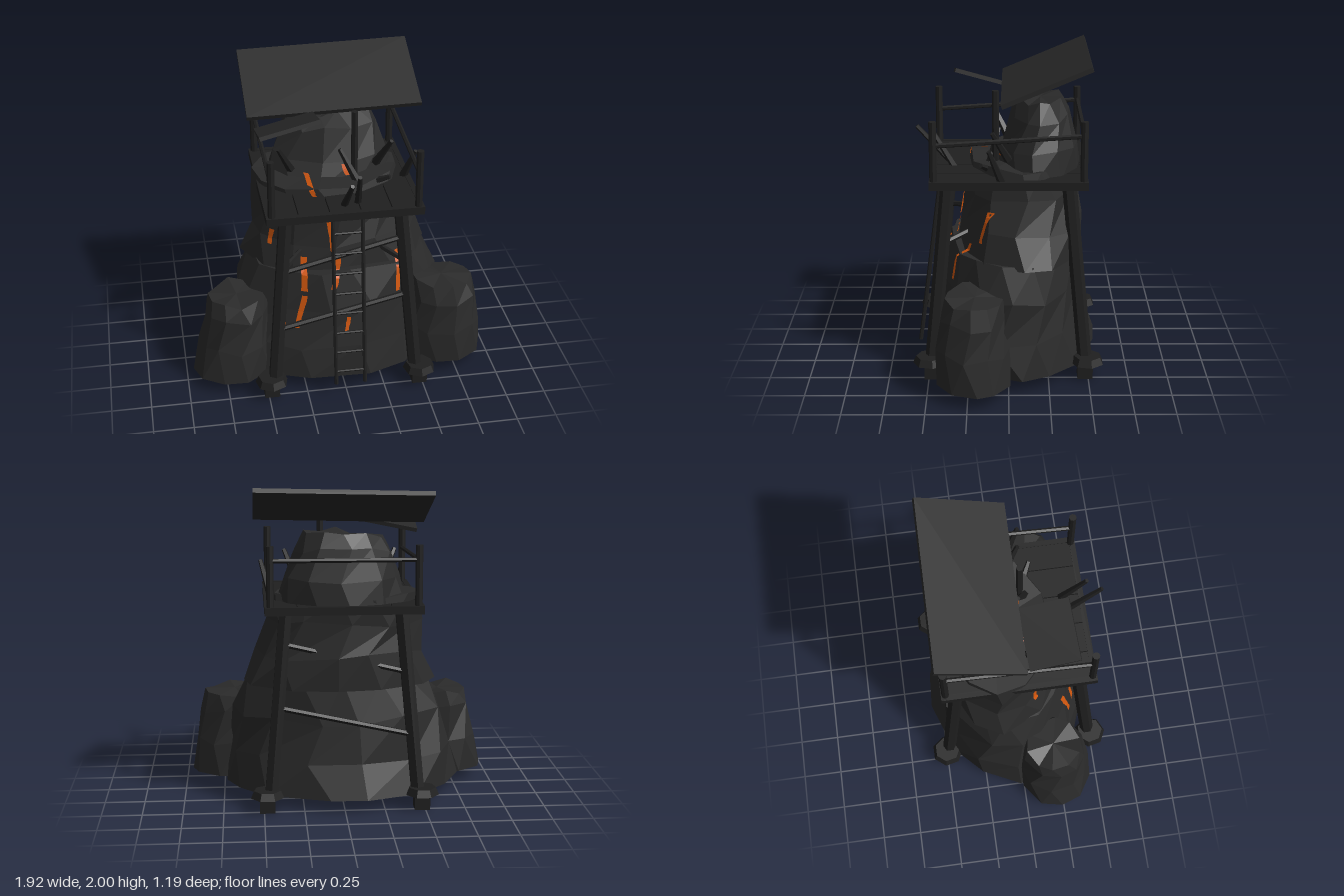
import * as THREE from 'three';

const mat = (name, color, extra = {}) =>
  Object.assign(new THREE.MeshStandardMaterial({ color, ...extra }), { name });

export function createModel() {
  const model = new THREE.Group();
  model.name = 'rockTower';
  const rockMat = mat('dark rock', 0x2a2a2a);
  const timberMat = mat('charred timber', 0x1f1f1f);
  const panelMat = mat('roof panel', 0x272727);
  const glowMat = mat('glowing orange', 0xd2570f, { side: THREE.DoubleSide });
  const V = (p) => new THREE.Vector3(...p);

  let seed = 7;
  const rand = () => ((seed = (seed * 16807) % 2147483647) / 2147483647) * 2 - 1;

  const add = (name, geometry, material, parent = model) => {
    const g = geometry.index ? geometry.toNonIndexed() : geometry;
    g.computeVertexNormals();
    const mesh = new THREE.Mesh(g, material);
    mesh.name = name;
    parent.add(mesh);
    return mesh;
  };
  const group = (name) => {
    const g = new THREE.Group();
    g.name = name;
    model.add(g);
    return g;
  };
  const box = (name, size, pos, material, parent) => {
    const m = add(name, new THREE.BoxGeometry(...size), material, parent);
    m.position.set(...pos);
    return m;
  };
  // Straight pole between two points, optionally tapered
  const beam = (name, a, b, r0, parent, r1 = r0, sides = 6) => {
    const d = V(b).sub(V(a));
    const m = add(name, new THREE.CylinderGeometry(r1, r0, d.length(), sides), timberMat, parent);
    m.position.copy(V(a)).addScaledVector(d, 0.5);
    m.quaternion.setFromUnitVectors(new THREE.Vector3(0, 1, 0), d.normalize());
    return m;
  };

  // Jagged rock lofted through rings of [y, xMin, xMax, zMin, zMax]
  const rock = (name, rings, sides, jitter, parent) => {
    const pos = [], idx = [];
    rings.forEach(([y, x0, x1, z0, z1], k) => {
      for (let i = 0; i < sides; i++) {
        const a = ((i + 0.25 * (k % 2) + 0.2 * rand()) / sides) * Math.PI * 2;
        const s = 1 + jitter * rand();
        const edge = k === 0 ? 0 : 0.025 * rand();
        pos.push((x0 + x1) / 2 + ((x1 - x0) / 2) * s * Math.cos(a), y + edge,
          (z0 + z1) / 2 + ((z1 - z0) / 2) * s * Math.sin(a));
      }
    });
    const top = (rings.length - 1) * sides, cap = rings.length * sides;
    for (const [y, x0, x1, z0, z1] of [rings[0], rings.at(-1)]) pos.push((x0 + x1) / 2, y, (z0 + z1) / 2);
    for (let i = 0; i < sides; i++) {
      const j = (i + 1) % sides;
      for (let k = 0; k < top; k += sides) {
        idx.push(k + i, k + sides + i, k + j, k + j, k + sides + i, k + sides + j);
      }
      idx.push(cap, i, j, cap + 1, top + j, top + i);
    }
    const g = new THREE.BufferGeometry();
    g.setAttribute('position', new THREE.Float32BufferAttribute(pos, 3));
    g.setIndex(idx);
    return add(name, g, rockMat, parent);
  };

  // Stepped rock core and the two side boulders
  const rocks = group('rocks');
  rock('lowerRock', [[0.08, -0.76, 0.71, -0.56, 0.49], [0.3, -0.72, 0.7, -0.5, 0.46],
    [0.55, -0.64, 0.68, -0.47, 0.42], [0.78, -0.54, 0.6, -0.43, 0.37]], 14, 0.04, rocks);
  rock('middleRock', [[0.75, -0.58, 0.62, -0.48, 0.33], [0.95, -0.52, 0.56, -0.46, 0.29],
    [1.15, -0.5, 0.49, -0.44, 0.26], [1.31, -0.5, 0.43, -0.42, 0.23]], 12, 0.04, rocks);
  rock('upperRock', [[1.24, -0.42, 0.41, -0.46, 0.1], [1.42, -0.36, 0.36, -0.44, 0.04],
    [1.6, -0.3, 0.3, -0.38, -0.02], [1.69, -0.26, 0.23, -0.34, -0.06]], 11, 0.04, rocks);
  rock('rightBoulder', [[0.08, -0.97, -0.42, -0.03, 0.46], [0.3, -0.91, -0.44, -0.02, 0.44],
    [0.5, -0.87, -0.46, 0.0, 0.41], [0.6, -0.84, -0.48, 0.02, 0.38]], 10, 0.04, rocks);
  rock('leftBoulder', [[0.08, 0.42, 0.96, -0.02, 0.45], [0.3, 0.44, 0.93, -0.01, 0.44],
    [0.5, 0.46, 0.9, 0.01, 0.42], [0.62, 0.48, 0.87, 0.02, 0.39]], 10, 0.04, rocks);

  // Loose stones beneath the base
  const stones = group('baseStones');
  for (let i = 0; i < 18; i++) {
    const p = [-0.34 + 0.04 * i, 0.058, 0.1 * rand() + (i % 4 ? 0 : 0.2)];
    box('stone', [0.035, 0.06, 0.035], p, rockMat, stones).rotation.y = rand();
  }

  // Four leaning legs on footings
  const frame = group('frame');
  for (const sx of [-1, 1]) for (const sz of [-1, 1]) {
    beam('leg', [sx * 0.455, 0.1, sz * 0.48], [sx * 0.355, 1.25, sz * 0.37], 0.045, frame);
    const foot = add('footing', new THREE.CylinderGeometry(0.085, 0.105, 0.045, 7), timberMat, frame);
    foot.position.set(sx * 0.48, 0.12, sz * 0.495);
    box('footPeg', [0.095, 0.1, 0.095], [sx * 0.48, 0.05, sz * 0.48], timberMat, frame);
    beam('railPost', [sx * 0.45, 1.24, sz * 0.455], [sx * 0.45, 1.65, sz * 0.455], 0.023, frame, 0.023, 8);
  }

  // Slanted braces across the front and back
  for (const s of [-1, 1]) {
    beam('lowerBrace', [-0.42, 0.47, s * 0.455], [0.42, 0.65, s * 0.435], 0.018, frame);
    beam('upperBrace', [-0.38, 0.86, s * 0.415], [0.38, 1.04, s * 0.4], 0.018, frame);
    beam('sideBrace', [s * 0.39, 0.86, 0.4], [s * 0.2, 0.91, 0.18], 0.018, frame);
  }

  // Plank platform with edge beams
  const deck = group('platform');
  for (let i = 0; i < 5; i++) {
    box('plank', [0.186, 0.03, 0.94], [-0.384 + i * 0.192, 1.262, 0], timberMat, deck);
  }
  for (const s of [-1, 1]) {
    box('edgeBeam', [0.97, 0.05, 0.035], [0, 1.255, s * 0.465], timberMat, deck);
    box('edgeBeam', [0.035, 0.05, 0.93], [s * 0.468, 1.255, 0], timberMat, deck);
    beam('sideRail', [s * 0.45, 1.5, 0.455], [s * 0.45, 1.56, -0.455], 0.015, deck);
  }
  beam('backRail', [-0.45, 1.56, -0.455], [0.45, 1.56, -0.455], 0.015, deck);

  // Ladder leaning on the front edge
  const ladder = group('ladder');
  for (const x of [-0.075, 0.11]) beam('ladderRail', [x, 0.09, 0.572], [x, 1.26, 0.42], 0.013, ladder);
  for (let i = 0; i < 8; i++) {
    const y = 0.18 + i * 0.134, z = 0.572 - (y - 0.09) * 0.13;
    beam('rung', [-0.075, y, z], [0.11, y, z], 0.009, ladder);
  }

  // Mast and tilted roof panels
  beam('mast', [0.12, 1.26, 0.08], [0.12, 1.76, 0.08], 0.022, model);
  box('mainRoof', [1.085, 0.028, 0.58], [0.005, 1.862, -0.23], panelMat).rotation.set(0.4, 0, 0.025);
  box('smallRoof', [0.375, 0.025, 0.31], [-0.315, 1.75, 0.195], panelMat).rotation.set(-0.27, 0, 0.22);

  // Pointed stakes
  const stakes = group('stakes');
  [[[0, 1.15, 0.25], [0.02, 1.51, 0.575]], [[0.1, 1.17, 0.28], [0.08, 1.52, 0.49]],
    [[-0.27, 1.36, 0], [-0.36, 1.55, 0.1]], [[0.27, 1.36, 0], [0.35, 1.55, 0.1]],
    [[0.44, 1.27, 0.04], [0.5, 1.48, 0.12]], [[0.14, 1.28, 0.12], [0.03, 1.5, 0.06]],
    [[0.2, 1.27, 0.1], [0.33, 1.34, 0.17]],
  ].forEach(([a, b]) => beam('stake', a, b, 0.028, stakes, 0.014, 5));

  // Glowing cracks laid on the front of the rock: [x0, y0, x1, y1, width]
  const cracks = group('glowingCracks');
  const ray = new THREE.Raycaster();
  const surfaceZ = (x, y) => {
    ray.set(new THREE.Vector3(x, y, 3), new THREE.Vector3(0, 0, -1));
    const hit = ray.intersectObject(rocks, true)[0];
    return hit ? hit.point.z + 0.012 : null;
  };
  for (const [x0, y0, x1, y1, w] of [
    [-0.18, 1.34, -0.16, 1.28, 0.03], [-0.16, 1.23, -0.125, 1.12, 0.03],
    [0.055, 1.39, 0.08, 1.32, 0.03], [0.135, 1.41, 0.135, 1.35, 0.015], [0.1, 1.23, 0.135, 1.16, 0.03],
    [-0.07, 1.11, -0.05, 0.91, 0.03], [-0.01, 0.9, -0.06, 0.69, 0.035], [-0.23, 0.87, -0.245, 0.67, 0.04],
    [-0.365, 0.63, -0.38, 0.42, 0.03], [-0.24, 0.64, -0.3, 0.42, 0.035], [0.03, 0.5, 0.01, 0.4, 0.025],
    [0.365, 0.85, 0.36, 0.61, 0.025], [0.425, 1.07, 0.45, 0.88, 0.025], [-0.41, 1.0, -0.43, 0.9, 0.025],
  ]) {
    const pos = [], idx = [], n = 6;
    for (let i = 0; i <= n; i++) {
      const t = i / n, x = x0 + (x1 - x0) * t, y = y0 + (y1 - y0) * t;
      for (const s of [-0.5, 0.5]) {
        const px = x + s * w * (1 + 0.2 * rand());
        pos.push(px, y, surfaceZ(px, y) ?? surfaceZ(x * 0.9, y) ?? 0.2);
      }
      if (i) idx.push(2 * i - 2, 2 * i, 2 * i - 1, 2 * i - 1, 2 * i, 2 * i + 1);
    }
    const g = new THREE.BufferGeometry();
    g.setAttribute('position', new THREE.Float32BufferAttribute(pos, 3));
    g.setIndex(idx);
    add('crack', g, glowMat, cracks);
  }
  return model;
}
